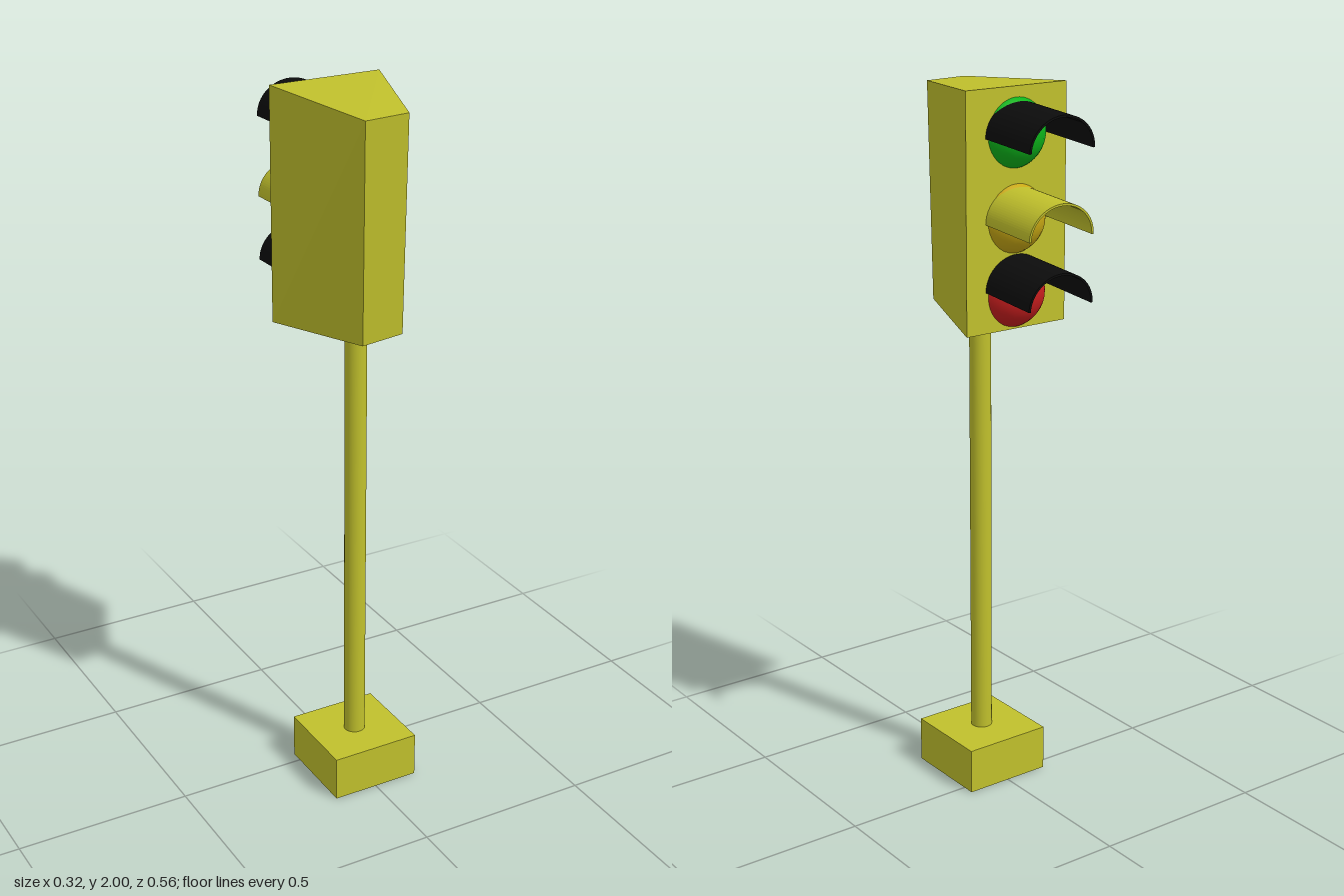
import * as THREE from 'three';

const paint = (color, extra = {}) => new THREE.MeshStandardMaterial({ color, ...extra });

export function createModel() {
  const model = new THREE.Group();
  model.name = 'trafficLight';
  const yellow = paint(0xc0c02c);
  const flatYellow = paint(0xc0c02c, { flatShading: true });
  const black = paint(0x0c0c0c);

  const add = (name, geometry, material, x, y, z) => {
    const mesh = new THREE.Mesh(geometry, material);
    mesh.name = name;
    mesh.position.set(x, y, z);
    model.add(mesh);
    return mesh;
  };

  // Foot block and pole
  add('base', new THREE.BoxGeometry(0.258, 0.13, 0.256), flatYellow, 0, 0.065, 0.093);
  add('pole', new THREE.CylinderGeometry(0.03, 0.03, 1.3, 32), yellow, 0, 0.75, 0.095);

  // Housing: a box tapering unevenly away from the lamp face
  const housing = new THREE.BoxGeometry(1, 1, 1);
  const p = housing.attributes.position;
  for (let i = 0; i < p.count; i++) {
    const right = p.getX(i) > 0, top = p.getY(i) > 0;
    if (p.getZ(i) < 0) p.setXYZ(i, right ? 0.161 : -0.161, top ? 2 : 1.36, -0.07);
    else if (top) p.setXYZ(i, right ? 0.05 : -0.081, 1.98, right ? 0.265 : 0.278);
    else p.setXYZ(i, right ? 0.06 : -0.058, right ? 1.388 : 1.377, 0.232);
  }
  housing.computeVertexNormals();
  add('housing', housing, flatYellow, 0, 0, 0);

  // Thin half-tube hood, slightly wider than tall
  const arch = new THREE.Shape();
  arch.absellipse(0, 0, 0.1, 0.09, 0, Math.PI, false);
  arch.lineTo(-0.094, 0);
  arch.absellipse(0, 0, 0.094, 0.084, Math.PI, 0, true);
  arch.closePath();
  const hoodGeometry = new THREE.ExtrudeGeometry(arch, { depth: 0.235, bevelEnabled: false, curveSegments: 24 });
  const lampGeometry = new THREE.SphereGeometry(0.1, 32, 20);

  // Lamps with their hoods, top to bottom
  const lamps = [
    ['green', 0x0cb41a, 1.88, 1.875, black],
    ['amber', 0xc8a814, 1.656, 1.653, yellow],
    ['red', 0xc81e1e, 1.457, 1.473, black],
  ];
  for (const [name, color, lampY, hoodY, hoodMaterial] of lamps) {
    add(name + 'Lamp', lampGeometry, paint(color), 0, lampY, -0.03);
    const hood = add(name + 'Hood', hoodGeometry, hoodMaterial, -0.002, hoodY, -0.037);
    hood.lookAt(0.04, hoodY - 0.055, -1.037);
  }
  return model;
}
